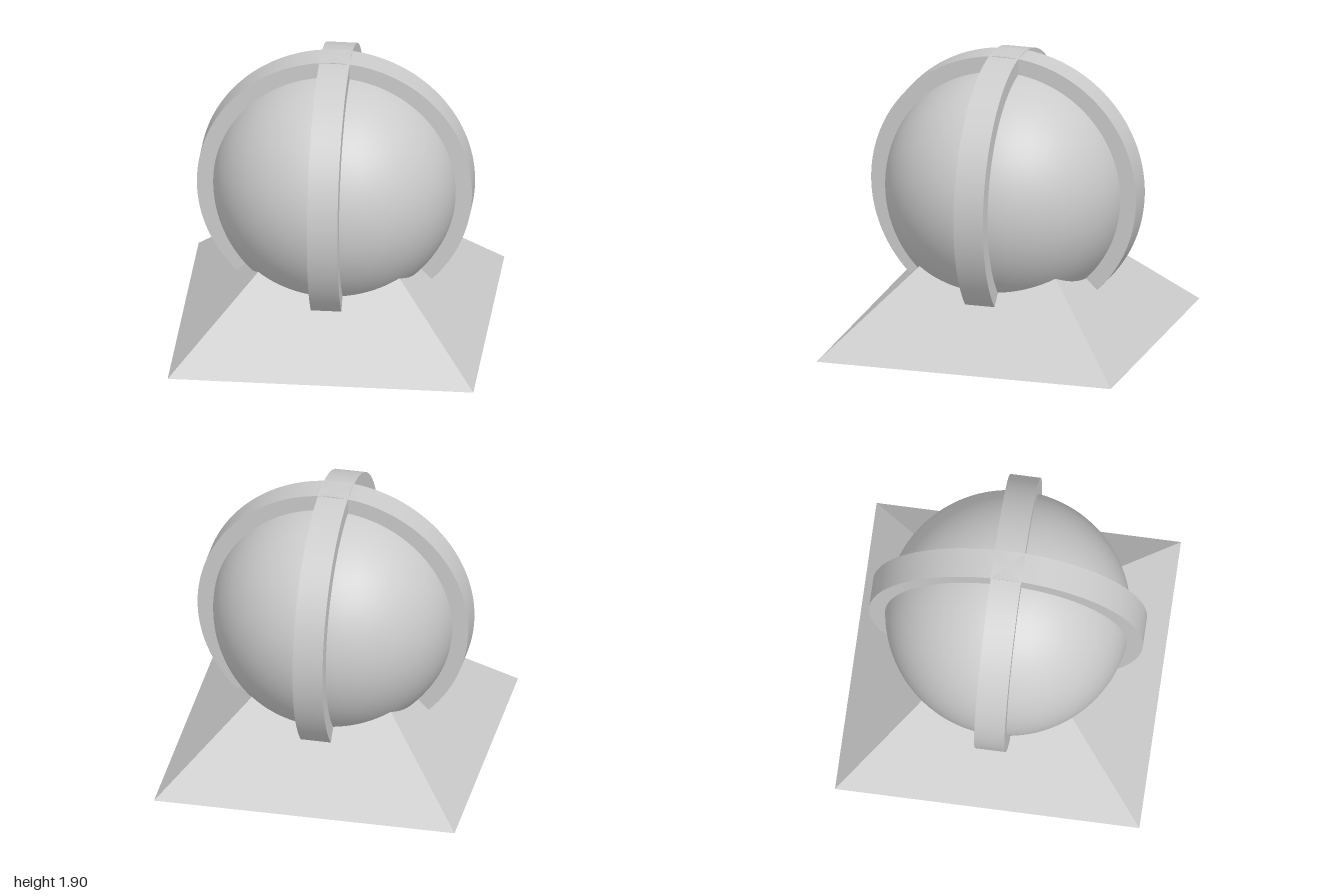
import * as THREE from 'three';
import { toCreasedNormals } from 'three/addons/utils/BufferGeometryUtils.js';

const CENTRE_Y = 1;
const BALL_RADIUS = 0.8;
const BAND_RADIUS = 0.9;
const BAND_WIDTH = 0.2;

// Flat hoop with a rectangular section, its axis along z
function bandGeometry() {
  const ring = new THREE.Shape().absarc(0, 0, BAND_RADIUS, 0, Math.PI * 2, false);
  ring.holes.push(new THREE.Path().absarc(0, 0, BALL_RADIUS - 0.04, 0, Math.PI * 2, true));
  const geometry = new THREE.ExtrudeGeometry(ring, {
    depth: BAND_WIDTH, bevelEnabled: false, curveSegments: 96,
  });
  geometry.translate(0, 0, -BAND_WIDTH / 2);
  return toCreasedNormals(geometry, 0.6);
}

export function createModel() {
  const model = new THREE.Group();
  model.name = 'bandedBallOnPyramid';
  const smooth = new THREE.MeshStandardMaterial({ color: 0xcccccc });
  const flat = new THREE.MeshStandardMaterial({ color: 0xcccccc, flatShading: true });

  const add = (name, geometry, material, y) => {
    const mesh = new THREE.Mesh(geometry, material);
    mesh.name = name;
    mesh.position.y = y;
    model.add(mesh);
    return mesh;
  };

  // Square pyramid whose tip meets the centre of the ball
  const pyramid = new THREE.ConeGeometry(Math.SQRT2, CENTRE_Y, 4).rotateY(Math.PI / 4);
  add('pyramidBase', pyramid, flat, CENTRE_Y / 2);

  // Ball
  add('ball', new THREE.SphereGeometry(BALL_RADIUS, 96, 64), smooth, CENTRE_Y);

  // Two upright bands crossing at the top
  const band = bandGeometry();
  add('sideToSideBand', band, smooth, CENTRE_Y);
  add('frontToBackBand', band, smooth, CENTRE_Y).rotation.y = Math.PI / 2;

  return model;
}
